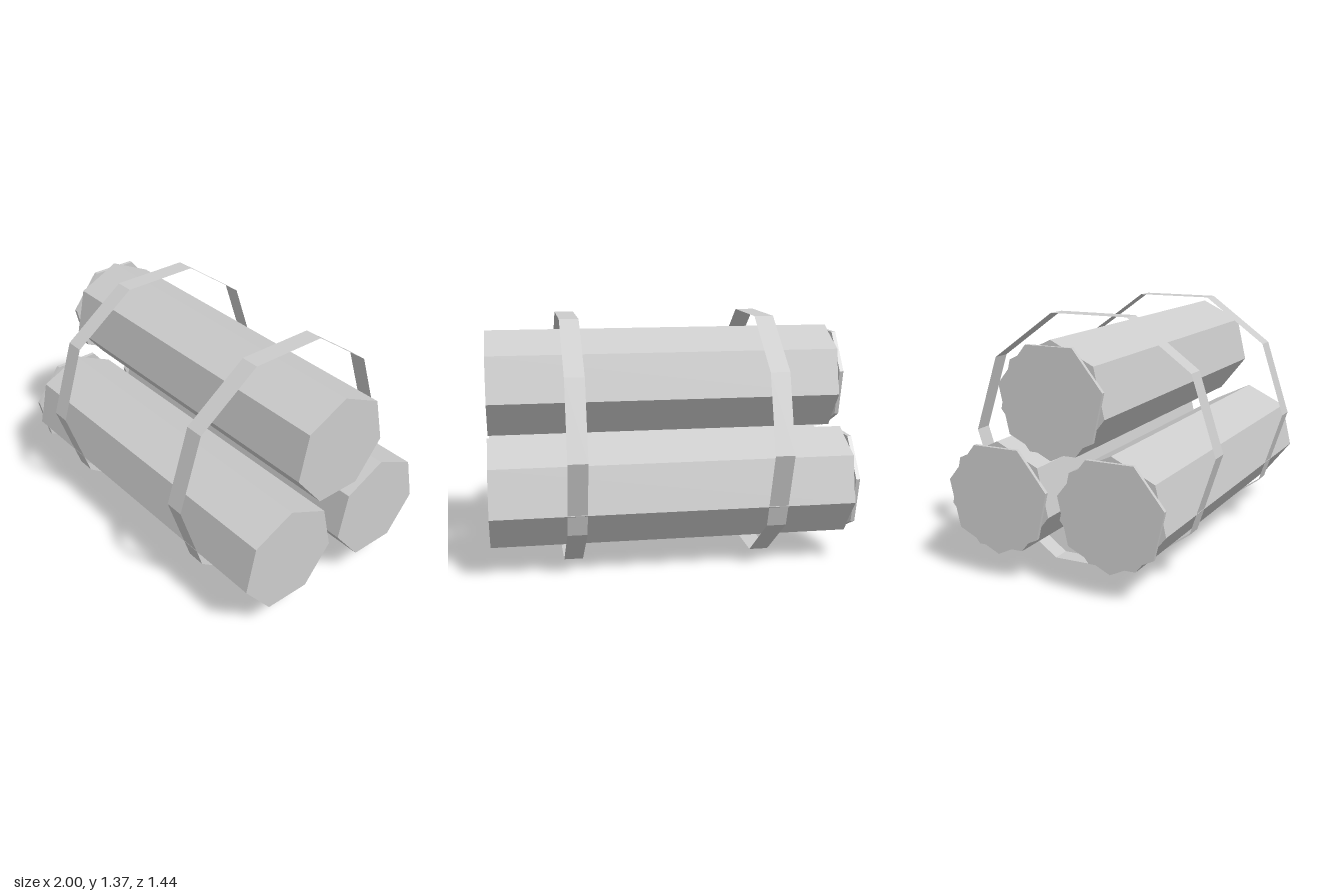
import * as THREE from 'three';

// Prism lying along x, from x0 to x1
function prismX(radius, x0, x1, sides, start, open = false) {
  const g = new THREE.CylinderGeometry(radius, radius, x1 - x0, sides, 1, open, start);
  g.rotateZ(-Math.PI / 2);
  g.translate((x0 + x1) / 2, 0, 0);
  return g;
}

export function createModel() {
  const group = new THREE.Group();
  const grey = new THREE.MeshStandardMaterial({
    color: 0xcccccc, flatShading: true, side: THREE.DoubleSide,
  });
  grey.name = 'lightGrey';

  const add = (name, geometry, y, z) => {
    const mesh = new THREE.Mesh(geometry, grey);
    mesh.name = name;
    mesh.position.set(0, y, z);
    group.add(mesh);
  };

  // Three seven-sided logs, each with a counter-rotated end cap on the right
  const logGeometry = prismX(0.302, -0.98, 1, 7, -Math.PI / 2);
  const capGeometry = prismX(0.302, -1, -0.978, 7, Math.PI / 2);
  const logs = [['top', 0.99, 0], ['front', 0.446, 0.328], ['back', 0.446, -0.328]];
  for (const [label, y, z] of logs) {
    add(`${label}Log`, logGeometry, y, z);
    add(`${label}LogEndCap`, capGeometry, y, z);
  }

  // Two thin ten-sided straps around the bundle
  add('rightStrap', prismX(0.72, -0.6, -0.493, 10, 0, true), 0.685, 0);
  add('leftStrap', prismX(0.72, 0.488, 0.595, 10, 0, true), 0.685, 0);

  return group;
}
